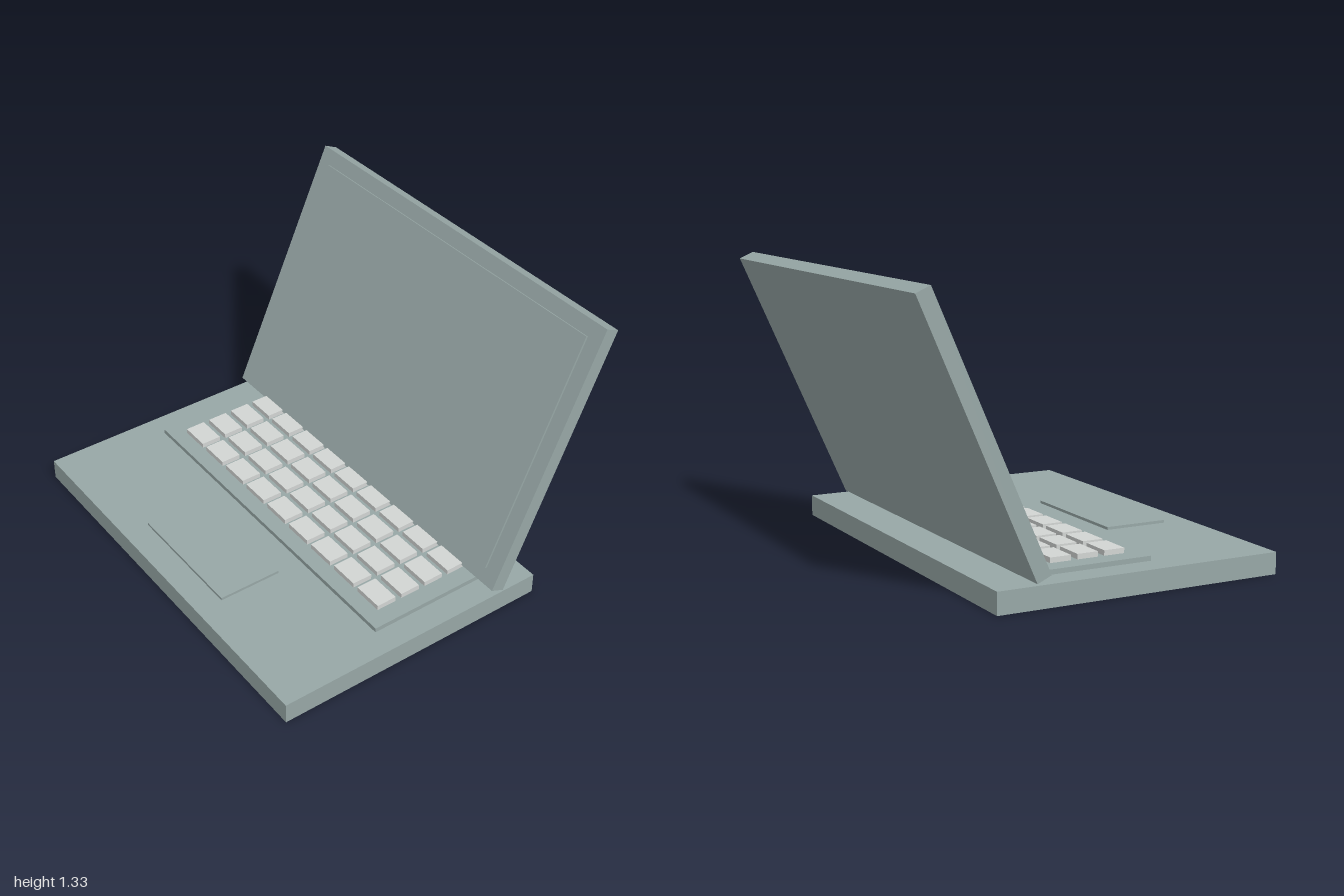
import * as THREE from 'three';

export function createModel() {
  const model = new THREE.Group();
  model.name = 'laptop';

  const body = new THREE.MeshStandardMaterial({ color: 0x97a7a6 });
  body.name = 'greyGreenBody';
  const keyGrey = new THREE.MeshStandardMaterial({ color: 0xd2d5d3 });
  keyGrey.name = 'lightGreyKeys';

  function box(name, material, size, position, parent = model) {
    const mesh = new THREE.Mesh(new THREE.BoxGeometry(...size), material);
    mesh.name = name;
    mesh.position.set(...position);
    parent.add(mesh);
    return mesh;
  }

  // Base slab with raised keyboard deck and trackpad
  box('base', body, [2, 0.1, 1.37], [0, 0.05, 0.174]);
  box('keyboardDeck', body, [1.75, 0.03, 0.59], [0, 0.107, 0]);
  box('trackpad', body, [0.63, 0.03, 0.31], [0, 0.098, 0.575]);

  // Keys: four rows of nine
  const keys = new THREE.Group();
  keys.name = 'keys';
  model.add(keys);
  for (let row = 0; row < 4; row++) {
    for (let col = 0; col < 9; col++) {
      box('key', keyGrey, [0.148, 0.025, 0.1],
        [0.002 + (col - 4) * 0.178, 0.1335, 0.167 - row * 0.132], keys);
    }
  }

  // Lid leaning back, with the screen panel slightly proud of its front
  const lid = new THREE.Group();
  lid.name = 'lid';
  lid.position.set(0, 0.719, -0.56);
  lid.rotation.x = -THREE.MathUtils.degToRad(24);
  model.add(lid);
  box('lidShell', body, [2, 1.307, 0.072], [0, 0, 0], lid);
  box('screen', body, [1.845, 1.162, 0.02], [0, 0, 0.036], lid);

  return model;
}
